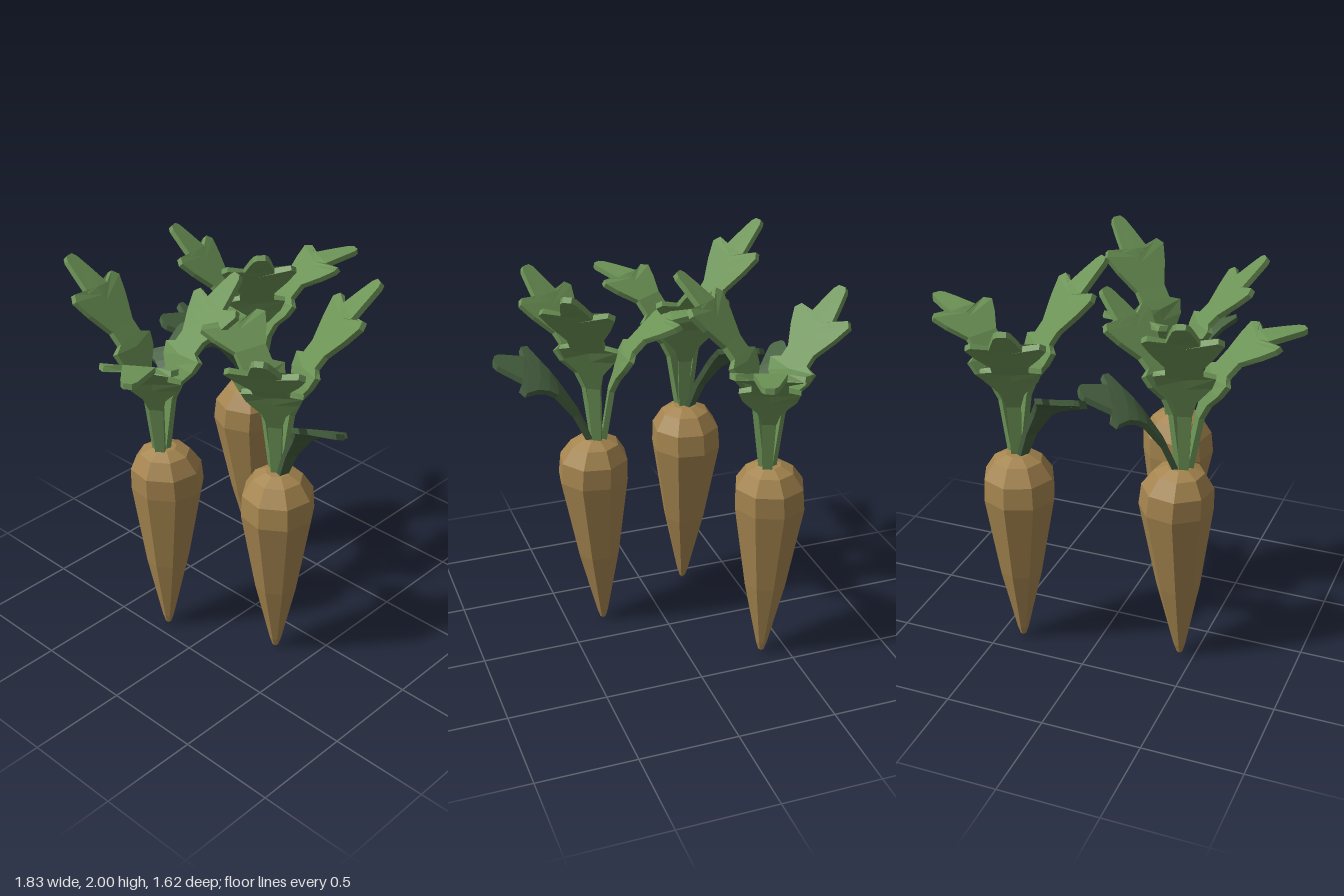
import * as THREE from 'three';

const deg = Math.PI / 180;

// Give every face its own flat normal
function faceted(geo) {
  const g = geo.index ? geo.toNonIndexed() : geo;
  g.deleteAttribute('uv');
  g.computeVertexNormals();
  return g;
}

// Eight-sided tapering root whose belly leans a little off the tip
function rootGeometry() {
  const profile = [
    [0, 0], [0.016, 0.015], [0.03, 0.06], [0.11, 0.42], [0.183, 0.86],
    [0.177, 0.97], [0.124, 1.05], [0.06, 1.08], [0, 1.082],
  ].map(([r, y]) => new THREE.Vector2(r, y));
  const geo = new THREE.LatheGeometry(profile, 8);
  const p = geo.attributes.position;
  for (let i = 0; i < p.count; i++) {
    const y = p.getY(i);
    const lean = y < 0.87 ? y / 0.87 : 1 - (y - 0.87) * 2;
    p.setX(i, p.getX(i) - 0.022 * lean);
    p.setZ(i, p.getZ(i) - 0.028 * lean);
  }
  return faceted(geo);
}

// Leaf outlines: [position of midrib, position of edge, half width]
const tip = [
  [4, 3.97, 0.075], [4.5, 4.5, 0.054], [4.9, 4.88, 0.037], [5, 5, 0.02],
];
const fullOutline = [
  [0, 0, 0.022], [1, 1, 0.034], [1.4, 1.4, 0.055], [1.75, 1.8, 0.125],
  [2, 2.2, 0.143], [2.4, 2.4, 0.085], [3, 3, 0.085], [3.4, 3.55, 0.145],
  [3.65, 3.98, 0.18], [3.8, 4.15, 0.153], ...tip,
];
const slimOutline = [
  [0, 0, 0.022], [1, 1, 0.034], [2, 2, 0.052], [2.7, 2.7, 0.07],
  [3.2, 3.3, 0.1], [3.6, 3.85, 0.15], [3.8, 4.1, 0.13], ...tip,
];

// Lobed leaf of even thickness bent along a path of [distance, height] points;
// roll lifts one edge of the blade
function leafGeometry({ path, outline, roll }) {
  const pts = path.map(([d, y]) => new THREE.Vector2(d, y));
  const at = (u) => {
    const i = Math.min(Math.floor(u), pts.length - 2);
    return pts[i].clone().lerp(pts[i + 1], u - i);
  };
  const half = 0.014;
  const rings = outline.map(([uc, ue, w]) => {
    const t = at(Math.min(uc + 0.2, 5)).sub(at(Math.max(uc - 0.2, 0))).normalize();
    const lift = roll * Math.min(uc / 3, 1);
    const point = (u, z, side) => {
      const q = at(u);
      return [q.x - t.y * half * side, q.y + t.x * half * side + z * lift, z];
    };
    return [point(ue, -w, 1), point(uc, 0, 1), point(ue, w, 1),
      point(ue, w, -1), point(uc, 0, -1), point(ue, -w, -1)];
  });
  const pos = [];
  const quad = (a, b, c, d) => pos.push(...a, ...b, ...c, ...a, ...c, ...d);
  for (let i = 0; i < rings.length - 1; i++) {
    for (let j = 0; j < 6; j++) {
      const k = (j + 1) % 6;
      quad(rings[i][j], rings[i][k], rings[i + 1][k], rings[i + 1][j]);
    }
  }
  const e = rings[rings.length - 1];
  quad(e[0], e[1], e[4], e[5]);
  quad(e[1], e[2], e[3], e[4]);
  const geo = new THREE.BufferGeometry();
  geo.setAttribute('position', new THREE.Float32BufferAttribute(pos, 3));
  return faceted(geo);
}

function material(name, color) {
  const m = new THREE.MeshStandardMaterial({ color });
  m.name = name;
  return m;
}

export function createModel() {
  const rootMat = material('rootTan', 0xa5854f);
  const leafMat = material('leafGreen', 0x6c9356);
  const darkMat = material('darkLeafGreen', 0x455f3f);

  // Four leaves of a crown: heading, bend, shape and colour
  const leaves = [
    { name: 'tallLeaf', angle: 133, outline: fullOutline, roll: 0, mat: leafMat,
      path: [[0.02, 1.04], [0.06, 1.38], [0.13, 1.6], [0.2, 1.69], [0.33, 1.86], [0.48, 1.99]] },
    { name: 'upperLeaf', angle: 250, outline: fullOutline, roll: 0, mat: leafMat,
      path: [[0.02, 1.04], [0.06, 1.35], [0.13, 1.55], [0.2, 1.62], [0.33, 1.76], [0.46, 1.88]] },
    { name: 'spreadingLeaf', angle: 24, outline: fullOutline, roll: 0, mat: leafMat,
      path: [[0.02, 1.04], [0.07, 1.34], [0.14, 1.52], [0.23, 1.62], [0.37, 1.71], [0.57, 1.73]] },
    { name: 'lowLeaf', angle: 207, outline: slimOutline, roll: 0.4, mat: darkMat,
      path: [[0.03, 1.04], [0.11, 1.22], [0.2, 1.35], [0.26, 1.41], [0.36, 1.46], [0.5, 1.51]] },
  ];
  const rootGeo = rootGeometry();
  const leafGeos = leaves.map(leafGeometry);

  const model = new THREE.Group();
  model.name = 'rootVegetables';

  // Three copies, each turned differently
  const places = [
    ['rightFrontPlant', -0.18, 0.31, 102],
    ['rightBackPlant', -0.425, -0.23, -122],
    ['leftPlant', 0.385, -0.37, 0],
  ];
  for (const [name, x, z, turn] of places) {
    const plant = new THREE.Group();
    plant.name = name;
    const root = new THREE.Mesh(rootGeo, rootMat);
    root.name = 'root';
    plant.add(root);
    leaves.forEach((l, i) => {
      const leaf = new THREE.Mesh(leafGeos[i], l.mat);
      leaf.name = l.name;
      leaf.rotation.y = -l.angle * deg;
      plant.add(leaf);
    });
    plant.position.set(x, 0, z);
    plant.rotation.y = turn * deg;
    model.add(plant);
  }
  return model;
}
